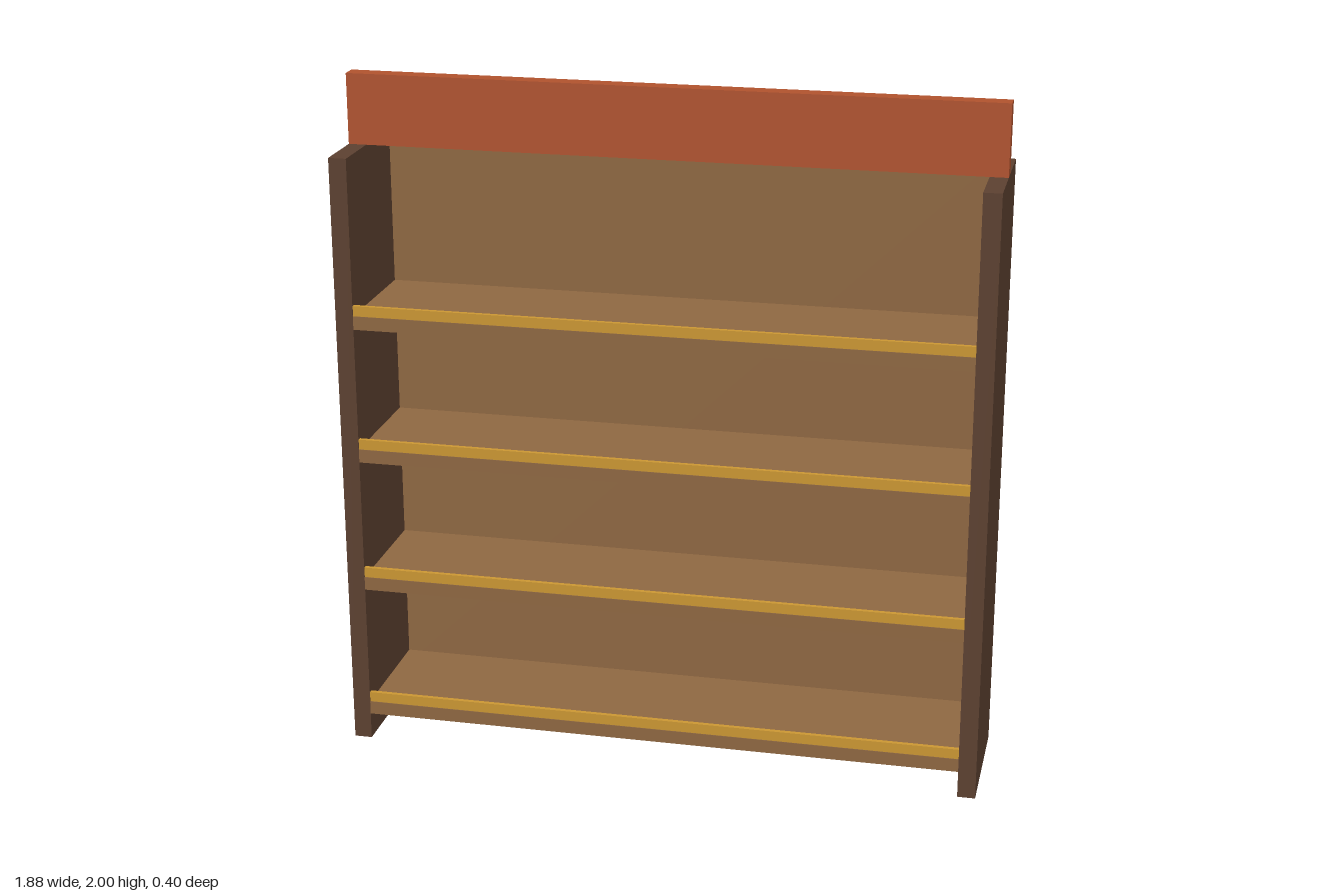
import * as THREE from 'three';

const material = (name, color) => {
  const m = new THREE.MeshStandardMaterial({ color });
  m.name = name;
  return m;
};

export function createModel() {
  const darkWood = material('dark wood', 0x5c4030);
  const wood = material('wood', 0x8e6741);
  const yellow = material('yellow trim', 0xca9632);
  const rust = material('rust red', 0xb0522d);

  const model = new THREE.Group();
  model.name = 'shelfUnit';

  // Box given by its lower and upper limits on each axis
  const box = (name, mat, [x0, x1], [y0, y1], [z0, z1]) => {
    const mesh = new THREE.Mesh(new THREE.BoxGeometry(x1 - x0, y1 - y0, z1 - z0), mat);
    mesh.position.set((x0 + x1) / 2, (y0 + y1) / 2, (z0 + z1) / 2);
    mesh.name = name;
    model.add(mesh);
  };

  const outer = 0.94, inner = 0.888, top = 1.795, depth = 0.2;

  // Upright sides
  box('leftSide', darkWood, [inner, outer], [0, top], [-depth, depth]);
  box('rightSide', darkWood, [-outer, -inner], [0, top], [-depth, depth]);

  // Back board, raised off the floor
  box('backPanel', wood, [-inner, inner], [0.08, top], [-depth, -0.18]);

  // Shelves, each with a raised lip along the front edge
  [0.08, 0.487, 0.89, 1.295].forEach((y, i) => {
    box(`shelf${i + 1}`, wood, [-inner, inner], [y, y + 0.04], [-0.18, depth]);
    box(`shelfLip${i + 1}`, yellow, [-inner, inner], [y + 0.04, y + 0.07], [0.185, 0.198]);
  });

  // Header board standing on the sides
  box('headerBoard', rust, [-outer, outer], [top, 2], [-0.025, 0.025]);

  return model;
}
